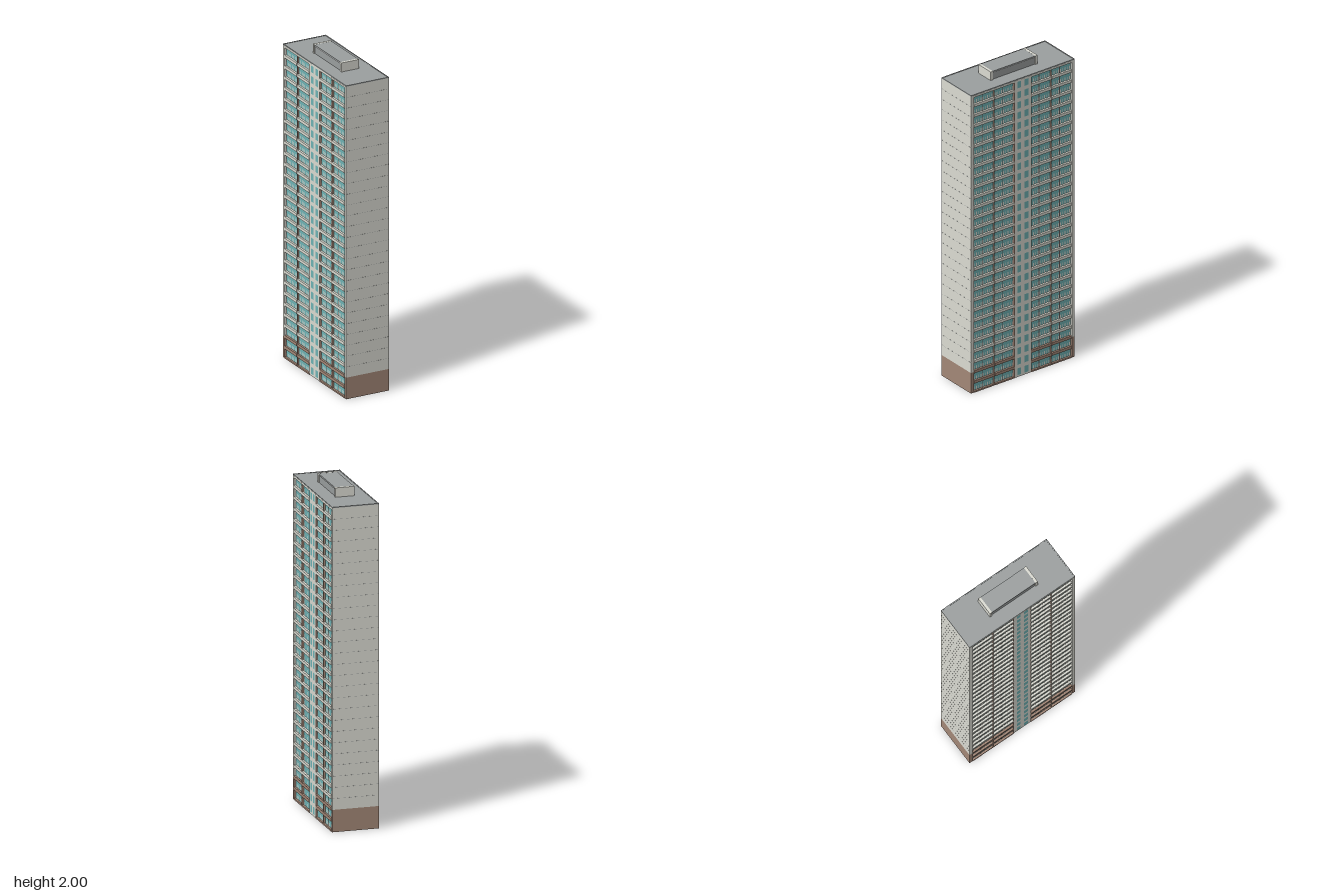
import * as THREE from 'three';
import { mergeGeometries } from 'three/addons/utils/BufferGeometryUtils.js';

const mat = (name, color) => {
  const m = new THREE.MeshStandardMaterial({ color });
  m.name = name;
  return m;
};

// box given by its limits on each axis
function box(x0, x1, y0, y1, z0, z1) {
  const g = new THREE.BoxGeometry(x1 - x0, y1 - y0, z1 - z0);
  g.translate((x0 + x1) / 2, (y0 + y1) / 2, (z0 + z1) / 2);
  return g;
}

// upright plate facing +z
function plate(x0, x1, y0, y1, z) {
  const g = new THREE.PlaneGeometry(x1 - x0, y1 - y0);
  g.translate((x0 + x1) / 2, (y0 + y1) / 2, z);
  return g;
}

export function createModel() {
  const concrete = mat('pale concrete', 0xdcdcd3);
  const brick = mat('brown brick', 0xa48878);
  const glass = mat('teal glass', 0x6fb3b5);
  const roofGrey = mat('roof grey', 0x9ca0a0);
  const dark = mat('dark frame', 0x5c5a58);

  const L = 0.375, W = 0.141;          // half length, half width
  const FLOORS = 29, H = 1.94, FH = H / FLOORS;
  const BASE = 2 * FH;                 // brick storeys
  const CORE = 0.058, MID = 0.206, END = 0.355;
  const BACK = 0.13;                   // plane of the recessed glazing

  const tower = new THREE.Group();
  tower.name = 'tower';
  const add = (parent, name, geos, material) => {
    const mesh = new THREE.Mesh(geos.length > 1 ? mergeGeometries(geos) : geos[0], material);
    mesh.name = name;
    parent.add(mesh);
  };

  // inner body behind the balconies
  add(tower, 'innerBody', [box(-END, END, 0, H, -BACK + 0.003, BACK - 0.003)], concrete);

  // end walls with a brick base and fine panel joints
  const upper = [], lower = [], joints = [];
  for (const s of [-1, 1]) {
    const a = Math.min(s * END, s * L), b = Math.max(s * END, s * L);
    upper.push(box(a, b, BASE, H, -W, W));
    lower.push(box(a, b, 0, BASE, -W, W));
    for (let i = 3; i < FLOORS; i++) {
      const y = i * FH, o = s * L;
      joints.push(box(o - 0.0004, o + 0.0004, y - 0.0006, y + 0.0006, -W + 0.002, W - 0.002));
    }
  }
  add(tower, 'endWalls', upper, concrete);
  add(tower, 'endWallBases', lower, brick);
  add(tower, 'panelJoints', joints, roofGrey);

  // one long facade; the other is the same turned half round
  function facade(name) {
    const g = new THREE.Group();
    g.name = name;
    const panes = [], bands = [], brickBands = [], rails = [], frames = [], fins = [], coreWindows = [];
    add(g, 'stairCoreWall', [box(-CORE, CORE, 0, H, BACK - 0.003, W)], concrete);

    // partitions beside the core and between the bays
    for (const u of [-MID, -CORE - 0.002, CORE + 0.002, MID])
      fins.push(box(u - 0.002, u + 0.002, 0, H, BACK, W + 0.001));

    const bays = [[-END, -MID], [-MID, -CORE], [CORE, MID], [MID, END]];
    for (const [a, b] of bays) panes.push(box(a, b, 0, H, BACK - 0.003, BACK));

    for (let i = 0; i < FLOORS; i++) {
      const y = i * FH;
      for (const c of [-0.026, 0.026])
        coreWindows.push(plate(c - 0.014, c + 0.014, y + 0.013, y + 0.056, W + 0.0008));

      for (const [a, b] of bays) {
        const x0 = a + 0.0025, x1 = b - 0.0025, w = x1 - x0;
        // balcony slab edge
        (i <= 2 ? brickBands : bands).push(box(x0, x1, Math.max(0, y - 0.008), y + 0.01, BACK, W + 0.002));
        // pale uprights across the lower half of the glazing
        const n = 9;
        for (let k = 0; k < n; k++) {
          const x = x0 + w * (k + 0.5) / n;
          rails.push(plate(x - 0.003, x + 0.003, y + 0.01, y + 0.033, BACK + 0.002));
        }
        // door post
        const x = x0 + w * 0.44;
        frames.push(plate(x - 0.002, x + 0.002, y + 0.01, y + FH - 0.008, BACK + 0.003));
      }
    }
    bands.push(box(-L, L, H - 0.012, H, BACK, W + 0.001));
    add(g, 'balconyGlazing', panes, glass);
    add(g, 'balconySlabs', bands, concrete);
    add(g, 'lowerBalconySlabs', brickBands, brick);
    add(g, 'glazingUprights', rails, concrete);
    add(g, 'doorPosts', frames, dark);
    add(g, 'bayPartitions', fins, brick);
    add(g, 'stairCoreWindows', coreWindows, glass);
    tower.add(g);
    return g;
  }
  facade('frontFacade');
  facade('backFacade').rotation.y = Math.PI;

  // flat roof deck with a slim grey kerb
  add(tower, 'roofDeck', [box(-L, L, H, H + 0.004, -W, W)], roofGrey);
  const kerb = [];
  for (const s of [-1, 1]) {
    const x = s * (L - 0.003), z = s * (W - 0.003);
    kerb.push(box(x - 0.003, x + 0.003, H, H + 0.006, -W, W));
    kerb.push(box(-L + 0.006, L - 0.006, H, H + 0.006, z - 0.003, z + 0.003));
  }
  add(tower, 'roofKerb', kerb, roofGrey);

  // plant room: pale end blocks, grey sides with louvres, grey lid
  const plant = new THREE.Group();
  plant.name = 'plantRoom';
  const PL = 0.17, PW = 0.058, PI = PL - 0.016;
  add(plant, 'plantEnds', [box(-PL, -PI, H, 2, -PW, PW), box(PI, PL, H, 2, -PW, PW)], concrete);
  add(plant, 'plantBody', [box(-PI, PI, H, 1.992, -PW + 0.006, PW - 0.006)], roofGrey);
  add(plant, 'plantLid', [box(-PI, PI, 1.992, 1.9995, -PW + 0.001, PW - 0.001)], roofGrey);
  const louvres = [];
  for (const s of [-1, 1]) {
    const z = s * (PW - 0.005);
    louvres.push(box(-PI, PI, 1.988, 1.991, z - 0.002, z + 0.002));
  }
  add(plant, 'plantLouvres', louvres, dark);
  tower.add(plant);

  // the tower stands at an angle to the axes
  tower.rotation.y = -0.335;
  const model = new THREE.Group();
  model.name = 'apartmentTower';
  model.add(tower);
  return model;
}
